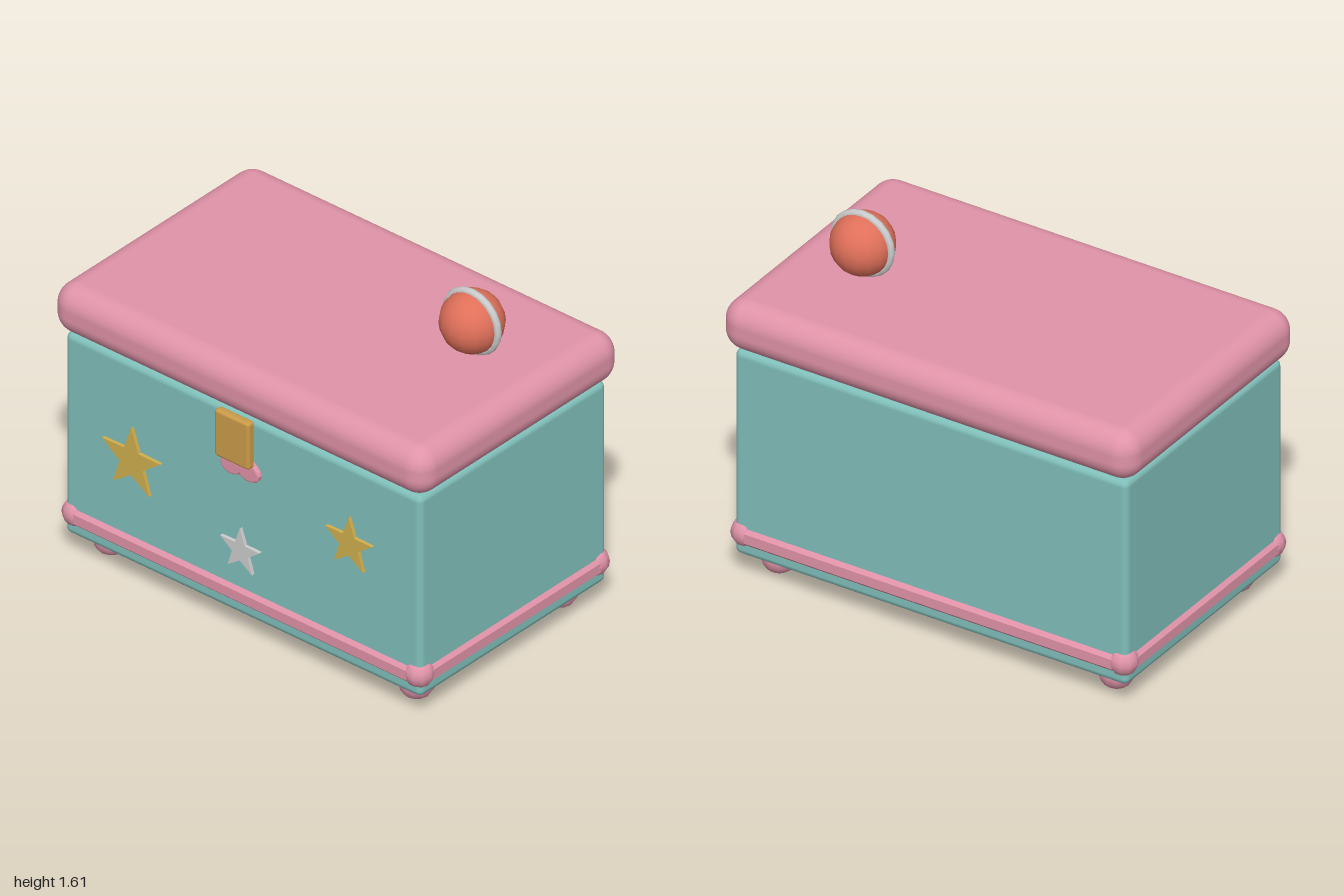
import * as THREE from 'three';
import { RoundedBoxGeometry } from 'three/addons/geometries/RoundedBoxGeometry.js';

const mat = (name, color) => {
  const m = new THREE.MeshStandardMaterial({ color });
  m.name = name;
  return m;
};

export function createModel() {
  const teal = mat('teal', 0x80bfba);
  const pink = mat('pink', 0xe093a8);
  const gold = mat('gold', 0xcfae4c);
  const brass = mat('brass', 0xcb9b48);
  const silver = mat('silver', 0xcccccc);
  const coral = mat('coral', 0xe0705a);

  const chest = new THREE.Group();
  chest.name = 'toyChest';
  const add = (name, geometry, material, x, y, z, parent = chest) => {
    const mesh = new THREE.Mesh(geometry, material);
    mesh.name = name;
    mesh.position.set(x, y, z);
    parent.add(mesh);
    return mesh;
  };
  const faceted = (geometry) => {
    const g = geometry.toNonIndexed();
    g.computeVertexNormals();
    return g;
  };

  const midZ = -0.01;

  // Body and cushioned lid
  add('body', new RoundedBoxGeometry(1.9, 0.97, 1.16, 2, 0.03), teal, 0, 0.595, midZ);
  add('lid', new RoundedBoxGeometry(1.996, 0.23, 1.255, 6, 0.095), pink, 0, 1.2, -0.012);

  // Octagonal moulding around the base, with round corner knobs
  const trim = new THREE.Group();
  trim.name = 'baseTrim';
  chest.add(trim);
  const tx = 0.913, tz = 0.543, ty = 0.207;
  const rail = (length) => faceted(new THREE.CylinderGeometry(0.058, 0.058, length, 8).rotateY(Math.PI / 8));
  const longRail = rail(2 * tx).rotateZ(Math.PI / 2);
  const shortRail = rail(2 * tz).rotateX(Math.PI / 2);
  for (const s of [-1, 1]) {
    add('longRail', longRail, pink, 0, ty, midZ + s * tz, trim);
    add('shortRail', shortRail, pink, s * tx, ty, midZ, trim);
  }

  // Corner knobs and ball feet
  const knob = new THREE.SphereGeometry(0.064, 10, 8);
  const foot = new THREE.SphereGeometry(0.078, 12, 8);
  for (const sx of [-1, 1]) {
    for (const sz of [-1, 1]) {
      add('cornerKnob', knob, pink, sx * tx, ty + 0.003, midZ + sz * tz, trim);
      add('foot', foot, pink, sx * 0.815, 0.08, midZ + sz * 0.445);
    }
  }

  // Front clasp
  add('clasp', new RoundedBoxGeometry(0.185, 0.225, 0.042, 2, 0.014), brass, 0, 0.995, 0.619);

  // Upside-down heart below the clasp
  const heart = new THREE.Shape();
  heart.moveTo(0, 0.07);
  heart.bezierCurveTo(-0.04, 0.04, -0.096, 0.01, -0.096, -0.012);
  heart.bezierCurveTo(-0.096, -0.056, -0.02, -0.062, 0, -0.026);
  heart.bezierCurveTo(0.02, -0.062, 0.096, -0.056, 0.096, -0.012);
  heart.bezierCurveTo(0.096, 0.01, 0.04, 0.04, 0, 0.07);
  const heartGeo = new THREE.ExtrudeGeometry(heart, {
    depth: 0.012, curveSegments: 6, bevelThickness: 0.008, bevelSize: 0.009, bevelSegments: 2,
  });
  add('heart', heartGeo, pink, 0, 0.845, 0.571);

  // Stars on the front panel
  const star = (radius) => {
    const points = [];
    for (let i = 0; i < 10; i++) {
      const a = Math.PI / 2 + (i * Math.PI) / 5;
      const r = i % 2 ? radius * 0.4 : radius;
      points.push(new THREE.Vector2(r * Math.cos(a), r * Math.sin(a)));
    }
    return new THREE.ExtrudeGeometry(new THREE.Shape(points), { depth: 0.018, bevelEnabled: false });
  };
  add('largeStar', star(0.163), gold, -0.58, 0.617, 0.568);
  add('mediumStar', star(0.13), gold, 0.58, 0.71, 0.568);
  add('smallStar', star(0.11), silver, 0, 0.43, 0.568);

  // Ball with a band, resting on the lid
  const ball = new THREE.Group();
  ball.name = 'ball';
  ball.position.set(0.625, 1.457, -0.13);
  chest.add(ball);
  add('ballSphere', new THREE.SphereGeometry(0.137, 16, 12), coral, 0, 0, 0, ball);
  add('ballBand', new THREE.TorusGeometry(0.136, 0.0175, 8, 20), silver, 0, 0, 0, ball);

  return chest;
}
